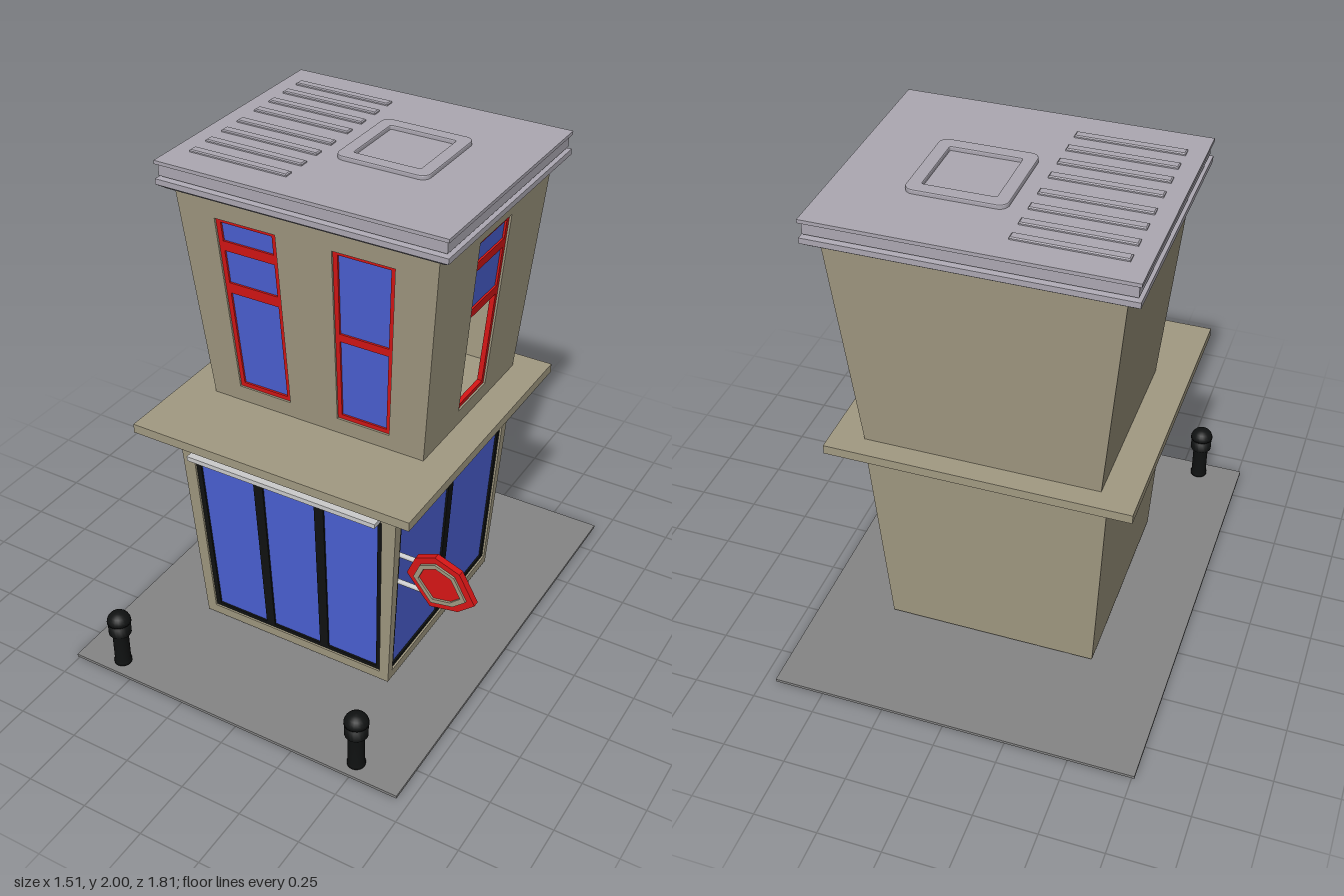
import * as THREE from 'three';

const mat = (color) => new THREE.MeshStandardMaterial({ color });
const beige = mat(0xa29a82), lilac = mat(0xaca8b2), blue = mat(0x4c62d6), red = mat(0xd81616);
const black = mat(0x101212), asphalt = mat(0x858585), grey = mat(0xcccccc);
const lerp = THREE.MathUtils.lerp;
const WALL = 0.02;

// Each storey flares upward: [bottom, top] position of every side
const lower = { y: [0.03, 0.88], x0: [-0.45, -0.495], x1: [0.397, 0.445], z0: [-0.42, -0.467], z1: [0.43, 0.475] };
const upper = { y: [0.99, 1.875], x0: [-0.48, -0.56], x1: [0.43, 0.505], z0: [-0.5, -0.567], z1: [0.25, 0.317] };

// Maps (across, up, out) coordinates onto one leaning side of a storey
const onSide = {
  front: (s, a, y, c) => [a, y, s('z1', y) + c],
  back: (s, a, y, c) => [-a, y, s('z0', y) - c],
  left: (s, a, y, c) => [s('x1', y) + c, y, -a],
  right: (s, a, y, c) => [s('x0', y) - c, y, a],
};

export function createModel() {
  const model = new THREE.Group();

  function add(name, geometry, material, parent = model) {
    const mesh = new THREE.Mesh(geometry, material);
    mesh.name = name;
    parent.add(mesh);
    return mesh;
  }

  function box(name, x0, x1, y0, y1, z0, z1, material) {
    const mesh = add(name, new THREE.BoxGeometry(x1 - x0, y1 - y0, z1 - z0), material);
    mesh.position.set((x0 + x1) / 2, (y0 + y1) / 2, (z0 + z1) / 2);
  }

  // Extrudes a flat shape and lays it on a leaning side, between depths c0 and c1
  function panel(storey, side, shape, c0, c1) {
    const geometry = new THREE.ExtrudeGeometry(shape, { depth: c1 - c0, bevelEnabled: false });
    const p = geometry.attributes.position;
    const at = (k, y) => lerp(storey[k][0], storey[k][1], (y - storey.y[0]) / (storey.y[1] - storey.y[0]));
    for (let i = 0; i < p.count; i++) p.setXYZ(i, ...onSide[side](at, p.getX(i), p.getY(i), p.getZ(i) + c0));
    geometry.computeVertexNormals();
    return geometry;
  }

  // Trapezoid q = [bottomLeft, bottomRight, topLeft, topRight, y0, y1]
  const quad = ([b0, b1, t0, t1, y0, y1]) => new THREE.Shape([[b0, y0], [b1, y0], [t1, y1], [t0, y1]].map((p) => new THREE.Vector2(...p)));

  // Part of a trapezoid, by fractions across and up
  function part([b0, b1, t0, t1, y0, y1], u0, u1, v0, v1) {
    const at = (u, v) => lerp(lerp(b0, b1, u), lerp(t0, t1, u), v);
    return [at(u0, v0), at(u1, v0), at(u0, v1), at(u1, v1), lerp(y0, y1, v0), lerp(y0, y1, v1)];
  }

  function wall(name, storey, side, windows = []) {
    const { x0, x1, z0, z1, y } = storey;
    const ends = (k) => ({
      front: [x0[k], x1[k]], back: [-x1[k], -x0[k]],
      left: [WALL - z1[k], -z0[k] - WALL], right: [z0[k] + WALL, z1[k] - WALL],
    })[side];
    const shape = quad([...ends(0), ...ends(1), ...y]);
    shape.holes = windows.map(quad);
    add(name, panel(storey, side, shape, -WALL, 0), beige);
  }

  // Frame with a grid of panes; cols and rows list [from, to] fractions
  function windowUnit(name, storey, side, outline, cols, rows, material, openRow = -1) {
    const unit = new THREE.Group();
    unit.name = name;
    model.add(unit);
    const frame = quad(outline);
    for (const [u0, u1] of cols) {
      rows.forEach(([v0, v1], row) => {
        const pane = part(outline, u0, u1, v0, v1);
        frame.holes.push(quad(pane));
        if (row !== openRow) add('glass', panel(storey, side, quad(pane), -0.022, -0.016), blue, unit);
      });
    }
    add('frame', panel(storey, side, frame, -0.028, -0.008), material, unit);
  }

  // Stacked rectangles: a centre, half sizes and rows of [height, offset]
  function moulding(name, cx, cz, hx, hz, rows, material) {
    const corners = rows.map(([y, o]) => [[-1, 1], [1, 1], [1, -1], [-1, -1]].map(([i, k]) => [cx + i * (hx + o), y, cz + k * (hz + o)]));
    const out = [];
    const face = (a, b, c, d) => out.push(a, b, c, a, c, d);
    for (let r = 0; r + 1 < rows.length; r++) {
      for (let i = 0; i < 4; i++) {
        const j = (i + 1) % 4;
        face(corners[r][i], corners[r][j], corners[r + 1][j], corners[r + 1][i]);
      }
    }
    face(...corners[0].slice().reverse());
    face(...corners[rows.length - 1]);
    const geometry = new THREE.BufferGeometry();
    geometry.setAttribute('position', new THREE.Float32BufferAttribute(out.flat(), 3));
    geometry.computeVertexNormals();
    add(name, geometry, material);
  }

  box('ground', -0.76, 0.7, 0, 0.012, -0.905, 0.905, asphalt);

  // Shop floor
  const shopFront = [-0.41, 0.36, -0.44, 0.385, 0.07, 0.84];
  const shopSide = [-0.4, 0.4, -0.43, 0.42, 0.07, 0.84];
  box('floor', -0.44, 0.385, 0.03, 0.045, -0.41, 0.415, beige);
  wall('shopFrontWall', lower, 'front', [shopFront]);
  wall('shopLeftWall', lower, 'left', [shopSide]);
  wall('shopBackWall', lower, 'back');
  wall('shopRightWall', lower, 'right');
  const shopRow = [[0.02, 0.97]];
  windowUnit('shopFrontWindow', lower, 'front', shopFront, [[0.026, 0.317], [0.367, 0.643], [0.692, 0.974]], shopRow, black);
  windowUnit('shopSideWindow', lower, 'left', shopSide, [[0.024, 0.473], [0.522, 0.976]], shopRow, black);
  box('awningRail', -0.44, 0.38, 0.843, 0.862, 0.465, 0.517, grey);

  // Ledge between the storeys
  moulding('ledge', -0.03, 0.004, 0.59, 0.59,
    [[0.875, -0.105], [0.89, -0.09], [0.927, -0.09], [0.928, -0.045], [0.957, 0], [0.994, 0]], beige);

  // Upper floor
  const threePane = [-0.36, -0.135, -0.4, -0.145, 1.06, 1.79];
  const twoPane = [0.07, 0.29, 0.085, 0.335, 1.06, 1.79];
  const sidePane = [0.015, 0.235, 0, 0.25, 1.06, 1.79];
  wall('upperFrontWall', upper, 'front', [threePane, twoPane]);
  wall('upperLeftWall', upper, 'left', [sidePane]);
  wall('upperBackWall', upper, 'back');
  wall('upperRightWall', upper, 'right');
  const one = [[0.075, 0.925]];
  windowUnit('frontRightWindow', upper, 'front', threePane, one, [[0.025, 0.575], [0.635, 0.82], [0.875, 0.98]], red);
  windowUnit('frontLeftWindow', upper, 'front', twoPane, one, [[0.025, 0.48], [0.525, 0.98]], red);
  windowUnit('sideWindow', upper, 'left', sidePane, one, [[0.025, 0.555], [0.605, 0.825], [0.875, 0.98]], red, 0);

  // Roof with its vents and hatch
  moulding('roof', -0.028, -0.129, 0.585, 0.488,
    [[1.868, -0.03], [1.89, 0], [1.912, 0], [1.916, -0.025], [1.923, -0.01], [1.964, -0.01], [1.969, 0], [1.983, 0]], lilac);
  for (const z of [-0.49, -0.395, -0.295, -0.195, -0.08, 0.02, 0.12, 0.22]) {
    moulding('roofVent', -0.342, z, 0.203, 0.018, [[1.98, 0], [1.988, 0], [1.992, -0.004]], lilac);
  }
  function rounded(h, r) {
    const s = new THREE.Shape();
    [[1, 1, 0], [-1, 1, 1], [-1, -1, 2], [1, -1, 3]].forEach(([i, k, n]) =>
      s.absarc(i * (h - r), k * (h - r), r, n * Math.PI / 2, (n + 1) * Math.PI / 2));
    return s;
  }
  const hatch = rounded(0.18, 0.03);
  hatch.holes = [rounded(0.139, 0.012)];
  const hatchMesh = add('roofHatch', new THREE.ExtrudeGeometry(hatch, { depth: 0.013, bevelSize: 0.005, bevelThickness: 0.005, bevelSegments: 2, curveSegments: 6 }), lilac);
  hatchMesh.rotation.x = -Math.PI / 2;
  hatchMesh.position.set(0.11, 1.982, -0.16);

  // Hanging sign on two rods
  const sign = new THREE.Group();
  sign.name = 'hangingSign';
  sign.position.set(0.612, 0.632, 0);
  model.add(sign);
  const outline = [[-0.135, 0], [-0.037, -0.12], [0.078, -0.098], [0.143, -0.042], [0.078, 0.076], [-0.022, 0.113], [-0.102, 0.08]];
  const signShape = (k) => new THREE.Shape(outline.map(([x, y]) => new THREE.Vector2(x * k, y * k)));
  const ring = signShape(0.77);
  ring.holes = [signShape(0.62)];
  const slab = (shape, z, depth) => new THREE.ExtrudeGeometry(shape, { depth, bevelEnabled: false }).translate(0, 0, z);
  add('signPlate', slab(signShape(1), 0.418, 0.027), red, sign);
  add('signRing', slab(ring, 0.445, 0.009), beige, sign);
  for (const y of [0.67, 0.542]) {
    const rod = add('signRod', new THREE.CylinderGeometry(0.01, 0.01, 0.19, 12), grey);
    rod.rotation.z = Math.PI / 2;
    rod.position.set(0.505, y, 0.412);
  }

  // Bollards: post, collar, narrow neck and dome
  const dome = Array.from({ length: 7 }, (_, i) => [0.048 * Math.cos(i * Math.PI / 12), 0.22 + 0.045 * Math.sin(i * Math.PI / 12)]);
  const profile = [[0, 0.01], [0.035, 0.01], [0.035, 0.025], [0.032, 0.03], [0.032, 0.15], [0.045, 0.165], [0.045, 0.207],
    [0.018, 0.208], [0.018, 0.219], ...dome].map(([r, y]) => new THREE.Vector2(Math.max(r, 0), y));
  for (const x of [-0.58, 0.495]) {
    add('bollard', new THREE.LatheGeometry(profile, 20), black).position.set(x, 0, 0.84);
  }
  return model;
}
